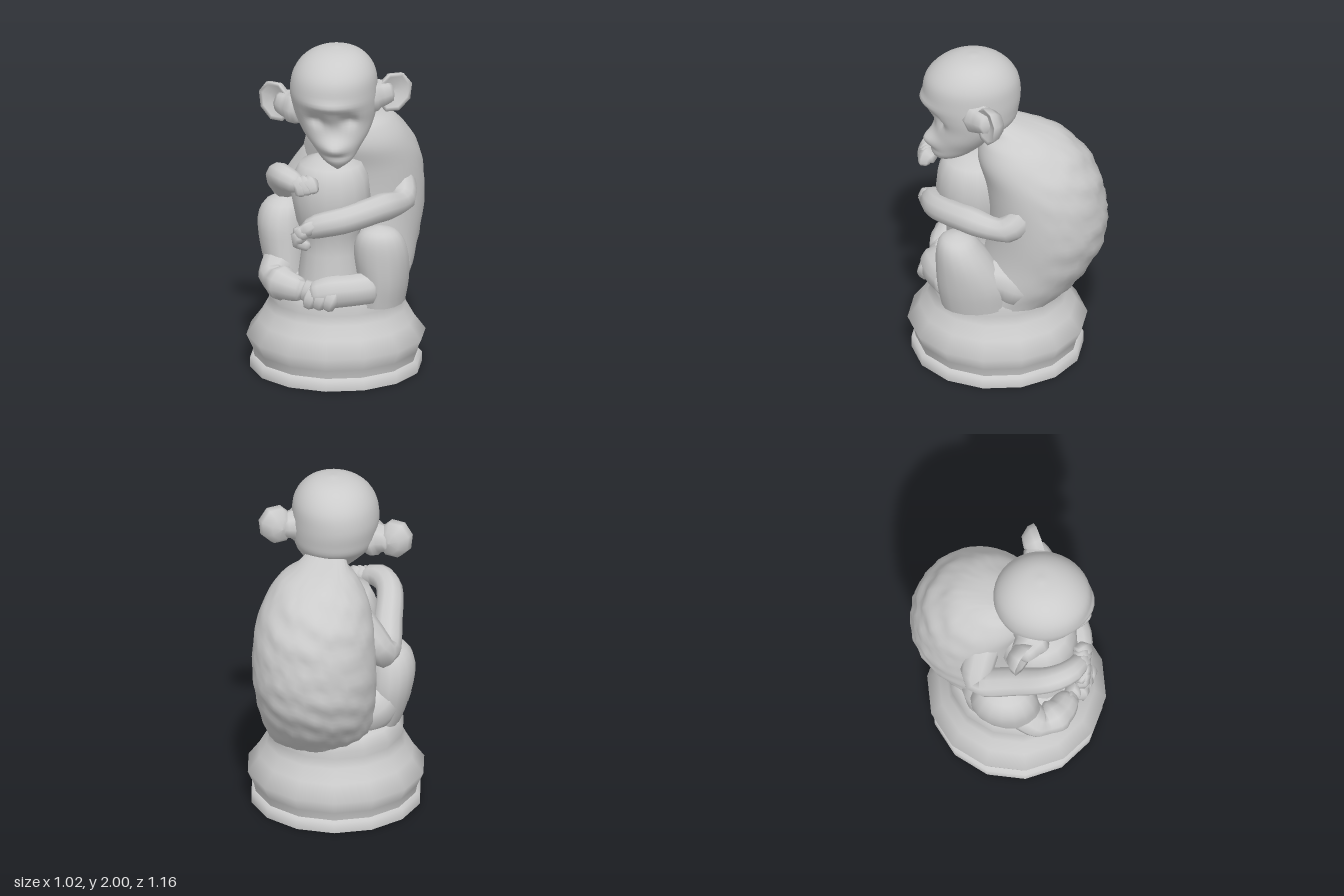
import * as THREE from 'three';
import { mergeVertices, toCreasedNormals } from 'three/addons/utils/BufferGeometryUtils.js';

const V = (x, y, z) => new THREE.Vector3(x, y, z);
const material = new THREE.MeshStandardMaterial({ color: 0xcccccc, side: THREE.DoubleSide });

// Welds the seam and smooths the normals
function smooth(geometry) {
  geometry.deleteAttribute('uv');
  geometry.deleteAttribute('normal');
  const welded = mergeVertices(geometry, 1e-4);
  welded.computeVertexNormals();
  return welded;
}

// Elliptic rings stacked upwards: [y, centreX, centreZ, radiusX, radiusZ]
function loft(rings, sides, steps, shape = () => {}) {
  const centres = new THREE.CatmullRomCurve3(rings.map(r => V(r[1], r[0], r[2])), false, 'catmullrom', 0.5);
  const radii = new THREE.CatmullRomCurve3(rings.map(r => V(r[3], 0, r[4])), false, 'catmullrom', 0.5);
  const count = steps + 1;
  const profile = Array.from({ length: count }, () => new THREE.Vector2(1, 0));
  const geometry = new THREE.LatheGeometry(profile, sides);
  const p = geometry.attributes.position;
  for (let i = 0; i < p.count; i++) {
    const t = (i % count) / steps;
    const c = centres.getPoint(t), r = radii.getPoint(t);
    const v = V(c.x + p.getX(i) * r.x, c.y, c.z + p.getZ(i) * r.z);
    shape(v, p.getX(i), p.getZ(i));
    p.setXYZ(i, v.x, v.y, v.z);
  }
  return smooth(geometry);
}

// Tapered, rounded tube through points [x, y, z, radius]
function limb(points, sides = 10, steps = 24) {
  const curve = new THREE.CatmullRomCurve3(points.map(p => V(p[0], p[1], p[2])));
  const radius = new THREE.CatmullRomCurve3(points.map(p => V(p[3], 0, 0)));
  const geometry = new THREE.TubeGeometry(curve, steps, 1, sides);
  const p = geometry.attributes.position;
  for (let i = 0; i < p.count; i++) {
    const u = Math.floor(i / (sides + 1)) / steps;
    const c = curve.getPointAt(u);
    const end = Math.min(1, Math.min(u, 1 - u) * 8);
    const r = radius.getPoint(curve.getUtoTmapping(u)).x * Math.sqrt(Math.max(0, 1 - (1 - end) ** 2));
    const v = V().fromBufferAttribute(p, i).sub(c).multiplyScalar(r).add(c);
    p.setXYZ(i, v.x, v.y, v.z);
  }
  return smooth(geometry);
}

const lathe = (points, sides) =>
  new THREE.LatheGeometry(points.map(p => new THREE.Vector2(p[0], p[1])), sides);
const bump = (v, x, y, w, h) => Math.exp(-(((v.x - x) / w) ** 2) - ((v.y - y) / h) ** 2);

export function createModel() {
  const model = new THREE.Group();
  const add = (name, geometry, parent = model) => {
    const mesh = new THREE.Mesh(geometry, material);
    mesh.name = name;
    parent.add(mesh);
    return mesh;
  };

  // Round pedestal with a mound to sit on
  add('pedestal', toCreasedNormals(lathe([[0, 0], [0.5, 0], [0.5, 0.06], [0.475, 0.07], [0.485, 0.12], [0.522, 0.2],
    [0.455, 0.29], [0.41, 0.37], [0.385, 0.42], [0.4, 0.47], [0.36, 0.53], [0.25, 0.6], [0, 0.62]], 14), 1.35)).position.z = 0.06;

  // Hunched torso with shaggy relief on the back
  add('torso', loft([[0.46, 0.1, -0.03, 0.29, 0.28], [0.58, 0.1, -0.11, 0.325, 0.315], [0.75, 0.11, -0.19, 0.345, 0.34],
    [0.95, 0.12, -0.225, 0.36, 0.345], [1.2, 0.12, -0.195, 0.345, 0.335], [1.36, 0.11, -0.135, 0.3, 0.315],
    [1.47, 0.1, -0.09, 0.23, 0.25], [1.53, 0.08, -0.05, 0.155, 0.17], [1.58, 0.05, 0.07, 0.1, 0.1]], 44, 48, (v, sx, sz) => {
    const a = Math.atan2(sx, sz);
    const fur = 0.009 * Math.sin(v.y * 36 + Math.sin(a * 9) * 2) * Math.sin(a * 13 + v.y * 6) * Math.max(0, 0.3 - sz);
    v.x += sx * fur;
    v.z += sz * fur;
  }));

  // Head with brow, sunken eyes and muzzle
  const head = new THREE.Group();
  head.name = 'head';
  model.add(head);
  add('skullAndFace', loft([[1.31, 0.05, 0.385, 0.005, 0.01], [1.36, 0.045, 0.34, 0.085, 0.1], [1.43, 0.035, 0.29, 0.14, 0.155],
    [1.5, 0.025, 0.25, 0.19, 0.19], [1.58, 0.015, 0.205, 0.228, 0.245], [1.66, 0.01, 0.205, 0.247, 0.27],
    [1.75, 0.005, 0.21, 0.254, 0.285], [1.85, 0.01, 0.21, 0.24, 0.268], [1.93, 0.015, 0.205, 0.19, 0.205],
    [1.98, 0.02, 0.2, 0.11, 0.115], [2.0, 0.02, 0.2, 0.0, 0.0]], 40, 48, (v, sx, sz) => {
    if (sz < 0) return;
    v.z += sz * (0.025 * bump(v, 0.02, 1.71, 0.15, 0.03) + 0.05 * bump(v, 0.035, 1.45, 0.08, 0.045)
      - 0.055 * bump(v, -0.075, 1.615, 0.04, 0.04) - 0.055 * bump(v, 0.12, 1.615, 0.04, 0.04)
      - 0.02 * bump(v, 0.03, 1.57, 0.14, 0.06) - 0.015 * bump(v, 0.04, 1.4, 0.1, 0.012));
  }), head);
  for (const [name, side, x, y] of [['leftEar', 1, 0.34, 1.71], ['rightEar', -1, -0.335, 1.625]]) {
    const ear = new THREE.Group();
    ear.name = name;
    head.add(ear);
    // Cupped shell, turned forward and outward
    const cup = add(name + 'Cup', lathe([[0, -0.07], [0.07, -0.06], [0.115, -0.01], [0.122, 0.03],
      [0.1, 0.025], [0.05, 0.005], [0, 0]], 8), ear);
    cup.scale.set(0.88, 1, 1.02);
    cup.quaternion.setFromUnitVectors(V(0, 1, 0), V(side * 0.45, 0, 0.893));
    cup.position.set(x, y, 0.125);
    add(name + 'Root', limb([[side * 0.16, y - 0.02, 0.19, 0.09], [side * 0.25, y - 0.01, 0.16, 0.09],
      [x, y, 0.11, 0.06]], 8, 10), ear);
  }

  // Rounded object hugged between the arms and knees
  add('heldObject', lathe([[0.2, 0.45], [0.19, 0.6], [0.17, 0.75], [0.17, 0.86], [0.205, 0.94], [0.232, 1.08],
    [0.22, 1.2], [0.18, 1.28], [0.09, 1.315], [0, 1.32]], 16)).position.set(-0.015, 0, 0.185);

  // Arms
  add('leftArm', limb([[0.26, 1.25, -0.12, 0.1], [0.35, 1.11, -0.08, 0.09], [0.385, 1.02, 0.03, 0.08],
    [0.27, 1.03, 0.26, 0.08], [0.08, 1.0, 0.41, 0.078], [-0.08, 0.96, 0.43, 0.07], [-0.18, 0.9, 0.41, 0.05]]));
  add('rightArm', limb([[-0.04, 1.31, -0.09, 0.12], [-0.18, 1.15, -0.13, 0.1], [-0.28, 1.02, -0.13, 0.09],
    [-0.3, 1.11, 0.08, 0.085], [-0.3, 1.23, 0.31, 0.075], [-0.22, 1.24, 0.43, 0.068], [-0.11, 1.2, 0.45, 0.06]]));
  for (let i = 0; i < 3; i++) {
    add('leftFinger', limb([[-0.06 - i * 0.03, 0.99 - i * 0.03, 0.45, 0.035], [-0.14 - i * 0.025, 0.95 - i * 0.03, 0.47, 0.035],
      [-0.2 + i * 0.05, 0.93 - i * 0.045, 0.44, 0.03]], 6, 10));
    add('rightFinger', limb([[-0.2 + i * 0.03, 1.24, 0.42, 0.04], [-0.16 + i * 0.035, 1.22, 0.475, 0.04],
      [-0.15 + i * 0.035, 1.16 + i * 0.01, 0.48, 0.03]], 6, 10));
  }

  // Folded legs: raised knee, thigh, foot and toes
  const legs = [
    { name: 'left',
      knee: [[0.46, 0.28, 0.2, 0.14, 0.2], [0.6, 0.295, 0.22, 0.15, 0.205], [0.75, 0.29, 0.265, 0.16, 0.17],
        [0.86, 0.285, 0.3, 0.14, 0.13], [0.92, 0.285, 0.31, 0.09, 0.085], [0.945, 0.285, 0.31, 0, 0]],
      thigh: [[0.27, 0.56, -0.15, 0.13], [0.28, 0.62, 0.04, 0.13], [0.27, 0.68, 0.24, 0.1]],
      foot: [[0.27, 0.58, 0.33, 0.1], [0.14, 0.57, 0.39, 0.095], [0.02, 0.56, 0.41, 0.098], [-0.12, 0.53, 0.42, 0.075]],
      toes: [-0.1, 0.52, 0.43] },
    { name: 'right',
      knee: [[0.48, -0.26, 0.06, 0.1, 0.17], [0.6, -0.29, 0.05, 0.12, 0.19], [0.75, -0.31, 0.03, 0.14, 0.2],
        [0.88, -0.32, 0.03, 0.14, 0.185], [0.98, -0.31, 0.03, 0.105, 0.13], [1.03, -0.3, 0.03, 0, 0]],
      thigh: [[-0.1, 0.6, -0.13, 0.13], [-0.25, 0.68, -0.06, 0.13], [-0.3, 0.8, 0.04, 0.12]],
      foot: [[-0.31, 0.66, 0.12, 0.11], [-0.34, 0.58, 0.24, 0.09], [-0.26, 0.57, 0.34, 0.09], [-0.13, 0.55, 0.39, 0.065]],
      toes: [-0.24, 0.55, 0.36] },
  ];
  for (const { name, knee, thigh, foot, toes } of legs) {
    const leg = new THREE.Group();
    leg.name = name + 'Leg';
    model.add(leg);
    add(name + 'Knee', loft(knee, 16, 15), leg);
    add(name + 'Thigh', limb(thigh, 10, 16), leg);
    add(name + 'Foot', limb(foot, 10, 18), leg);
    for (let i = 0; i < 3; i++) {
      const x = toes[0] + i * 0.06, y = toes[1], z = toes[2] + (i - 1) * 0.015;
      add(name + 'Toe', limb([[x + 0.02, y + 0.05, z, 0.05], [x, y + 0.01, z + 0.04, 0.045],
        [x - 0.02, y - 0.05, z + 0.03, 0.03]], 6, 10), leg);
    }
  }
  return model;
}
